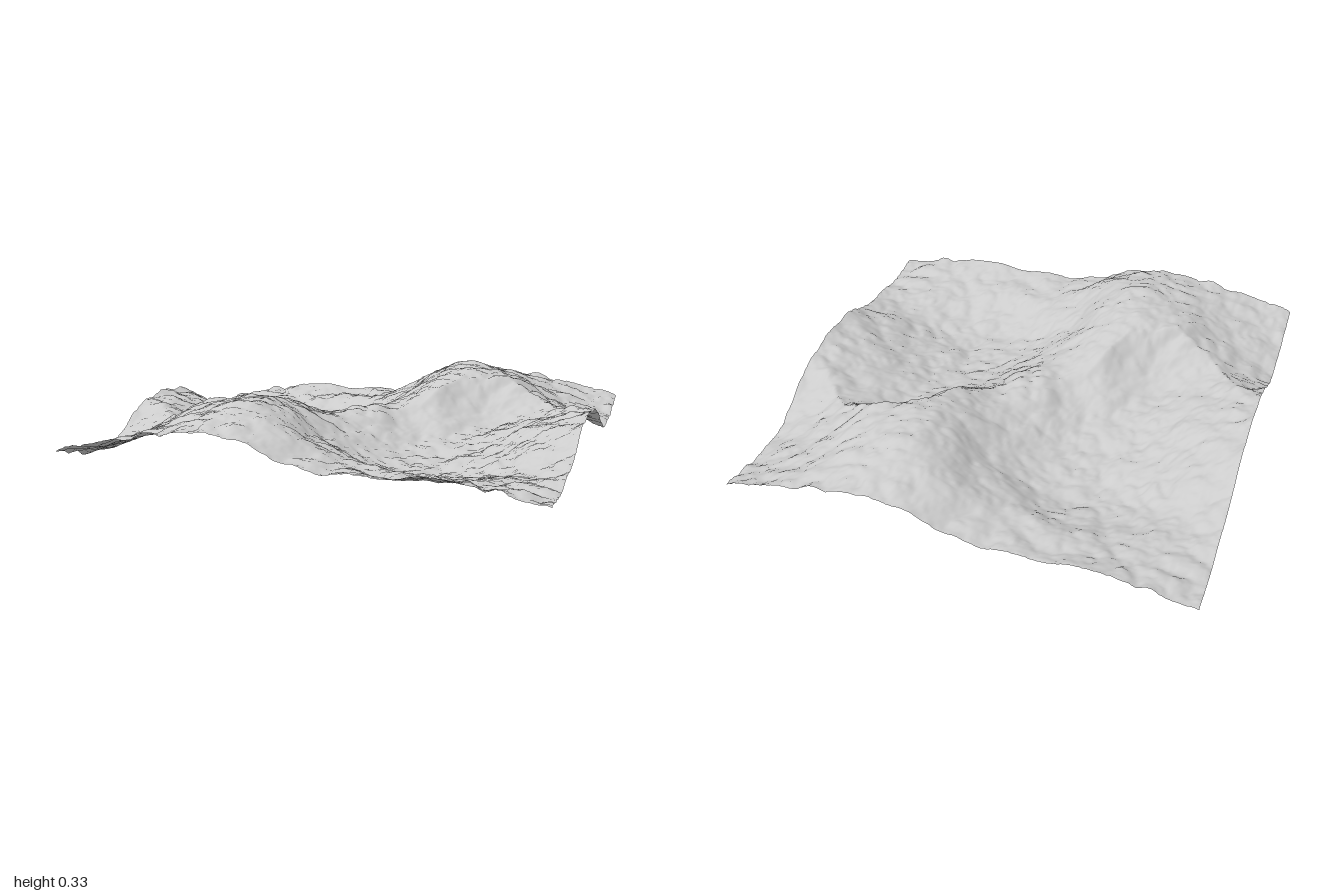
import * as THREE from 'three';

// Broad heights on a 0.25 grid: x from -1 to 1 in each row, rows z = -1 to 0.
// The front half is the back half turned 180 degrees.
const BACK = [
  [0.05, 0.105, 0.13, 0.12, 0.145, 0.245, 0.245, 0.205, 0.145],
  [0.07, 0.085, 0.075, 0.105, 0.19, 0.315, 0.285, 0.18, 0.09],
  [0.11, 0.065, 0.022, 0.035, 0.145, 0.315, 0.285, 0.175, 0.085],
  [0.205, 0.115, 0.05, 0.06, 0.165, 0.25, 0.13, 0.165, 0.2],
  [0.235, 0.16, 0.085, 0.115, 0.215, 0.115, 0.085, 0.16, 0.235],
];
const GRID = [...BACK, ...BACK.slice(0, 4).reverse().map((row) => [...row].reverse())];

// Sharp rim of the front bowl, as x, z points
const RIM = [[0.22, -0.12], [0.35, -0.38], [0.55, -0.48], [0.7, -0.44], [0.84, -0.3], [1, -0.08]]
  .map(([x, z]) => new THREE.Vector2(x, z));

// Catmull-Rom through evenly spaced values, with the ends extended straight
function spline(values, t) {
  const n = values.length;
  const i = Math.min(n - 2, Math.max(0, Math.floor(t)));
  const f = t - i;
  const b = values[i], c = values[i + 1];
  const a = i > 0 ? values[i - 1] : 2 * b - c;
  const d = i < n - 2 ? values[i + 2] : 2 * c - b;
  return b + 0.5 * f * (c - a + f * (2 * a - 5 * b + 4 * c - d + f * (3 * (b - c) + d - a)));
}

function broadHeight(x, z) {
  return spline(GRID.map((row) => spline(row, (x + 1) * 4)), (z + 1) * 4);
}

// Crest that falls off with the distance to the rim
function rimHeight(x, z) {
  const point = new THREE.Vector2(x, z);
  let nearest = Infinity;
  for (let i = 0; i < RIM.length - 1; i++) {
    const along = RIM[i + 1].clone().sub(RIM[i]);
    const t = THREE.MathUtils.clamp(point.clone().sub(RIM[i]).dot(along) / along.lengthSq(), 0, 1);
    nearest = Math.min(nearest, RIM[i].clone().addScaledVector(along, t).distanceTo(point));
  }
  const fade = Math.min(1, Math.max(0, (1 - x) / 0.2)) * Math.min(1, Math.max(0, (x - 0.1) / 0.2));
  return 0.035 * fade * Math.exp(-nearest / 0.06);
}

// Repeatable lattice gradient noise
function gradient(ix, iz, dx, dz) {
  let h = Math.imul(ix, 374761393) + Math.imul(iz, 668265263);
  h = Math.imul(h ^ (h >>> 13), 1274126177);
  const angle = ((h ^ (h >>> 16)) >>> 0) / 4294967296 * Math.PI * 2;
  return Math.cos(angle) * dx + Math.sin(angle) * dz;
}

function noise(x, z) {
  const ix = Math.floor(x), iz = Math.floor(z);
  const fx = x - ix, fz = z - iz;
  const ease = (t) => t * t * t * (t * (t * 6 - 15) + 10);
  const u = ease(fx), v = ease(fz);
  const near = THREE.MathUtils.lerp(gradient(ix, iz, fx, fz), gradient(ix + 1, iz, fx - 1, fz), u);
  const far = THREE.MathUtils.lerp(gradient(ix, iz + 1, fx, fz - 1), gradient(ix + 1, iz + 1, fx - 1, fz - 1), u);
  return THREE.MathUtils.lerp(near, far, v);
}

// Rounded lumps with sharp creases between them, in finer and finer layers.
// The difference of a pattern and its half turn keeps both halves alike.
function lumps(x, z) {
  let sum = 0, size = 0.026, frequency = 5;
  for (let octave = 0; octave < 5; octave++) {
    const shift = octave * 17.3 + 5.7;
    const wave = noise(x * frequency + shift, z * frequency + shift)
      - noise(-x * frequency + shift, -z * frequency + shift);
    sum += size * (Math.abs(wave) - 0.27);
    size *= 0.56;
    frequency *= 1.9;
  }
  return sum;
}

export function createModel() {
  const group = new THREE.Group();
  group.name = 'terrain';

  // Ground sheet: a diagonal ridge with two peaks between two bowls, with a rocky skin
  const geometry = new THREE.PlaneGeometry(2, 2, 200, 200);
  geometry.rotateX(-Math.PI / 2);
  const position = geometry.attributes.position;
  for (let i = 0; i < position.count; i++) {
    const x = position.getX(i), z = position.getZ(i);
    const rims = rimHeight(x, z) + rimHeight(-x, -z);
    position.setY(i, broadHeight(x, z) + rims + lumps(x, z));
  }
  geometry.computeBoundingBox();
  geometry.translate(0, -geometry.boundingBox.min.y, 0);
  geometry.computeVertexNormals();

  const ground = new THREE.Mesh(
    geometry,
    new THREE.MeshStandardMaterial({ color: 0xcccccc, side: THREE.DoubleSide })
  );
  ground.name = 'ground';
  group.add(ground);
  return group;
}
